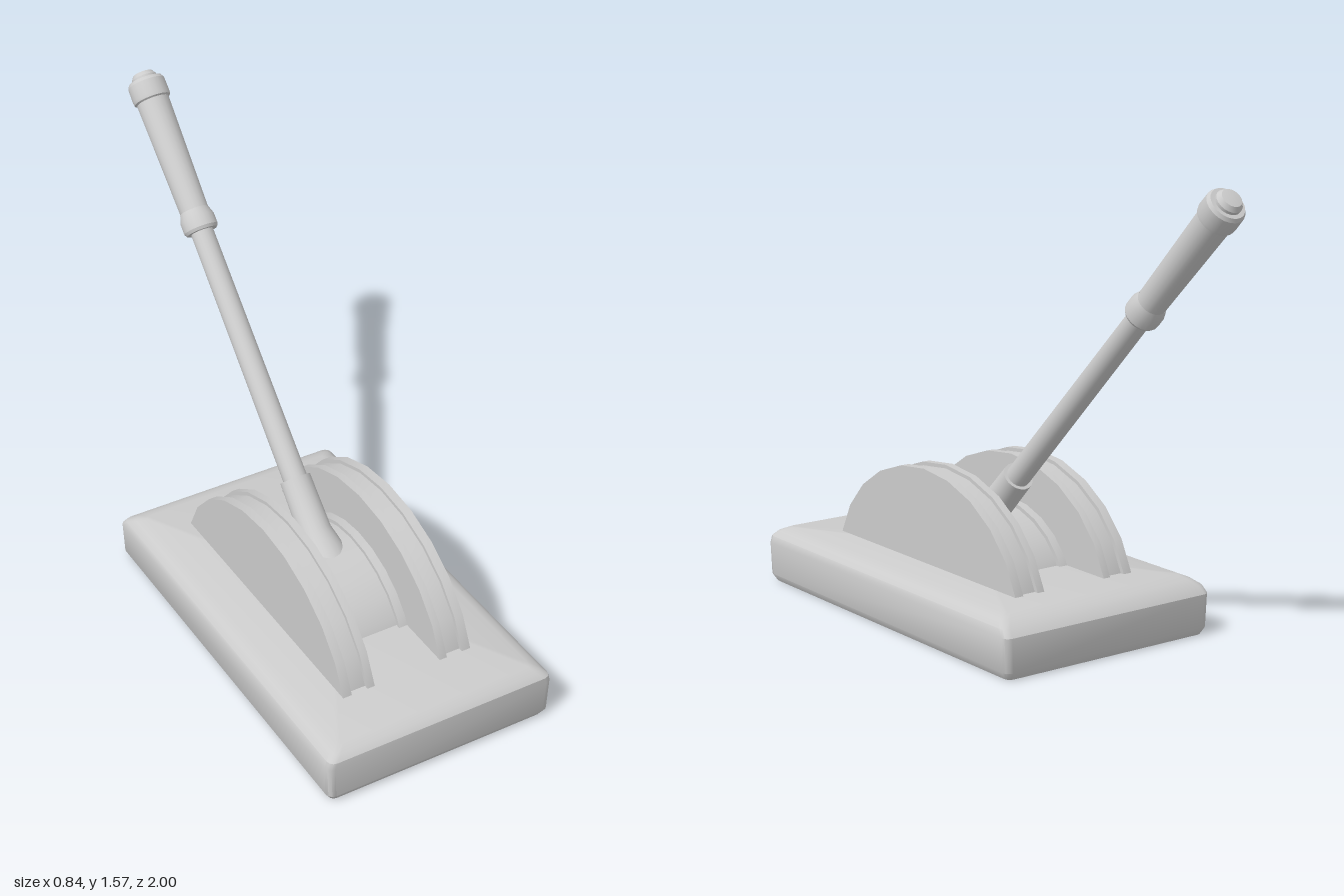
import * as THREE from 'three';
import { toCreasedNormals } from 'three/addons/utils/BufferGeometryUtils.js';

const material = new THREE.MeshStandardMaterial({ color: 0xcccccc, side: THREE.DoubleSide });

function addMesh(parent, name, geometry, crease = 0.6) {
  const mesh = new THREE.Mesh(toCreasedNormals(geometry, crease), material);
  mesh.name = name;
  parent.add(mesh);
  return mesh;
}

function lathe(profile, segments, start = 0, length = Math.PI * 2) {
  return new THREE.LatheGeometry(profile.map(([r, y]) => new THREE.Vector2(r, y)), segments, start, length);
}

// Hollow base, open underneath: rounded rectangles stacked upwards
function baseGeometry() {
  // [y, half width, back z, front z, corner radius]
  const sections = [
    [0, 0.4, -0.415, 0.985, 0.02],
    [0.025, 0.415, -0.428, 1, 0.025],
    [0.14, 0.42, -0.43, 1, 0.025],
    [0.165, 0.413, -0.41, 1, 0.025],
    [0.183, 0.392, -0.38, 0.985, 0.025],
    [0.197, 0.36, -0.345, 0.955, 0.02],
    [0.197, 0, 0.3, 0.3, 0],
  ];
  const corners = [[1, 1], [1, -1], [-1, -1], [-1, 1]];
  const steps = 3;
  const positions = [];
  const index = [];
  for (const [y, w, back, front, r] of sections) {
    corners.forEach(([sx, sz], c) => {
      for (let i = 0; i <= steps; i++) {
        const a = (c + i / steps) * Math.PI / 2;
        const z = sz > 0 ? front : back;
        positions.push(sx * (w - r) + r * Math.sin(a), y, z - sz * r + r * Math.cos(a));
      }
    });
  }
  const n = corners.length * (steps + 1);
  for (let s = 0; s < sections.length - 1; s++) {
    for (let i = 0; i < n; i++) {
      const a = s * n + i, b = s * n + (i + 1) % n;
      index.push(a, b, b + n, a, b + n, a + n);
    }
  }
  const geometry = new THREE.BufferGeometry();
  geometry.setAttribute('position', new THREE.Float32BufferAttribute(positions, 3));
  geometry.setIndex(index);
  return geometry;
}

// Half spool: two grooved discs joined by a narrower drum, slightly flattened
function spoolGeometry() {
  const half = [
    [0.33, 0.093], [0.346, 0.093], [0.346, 0.123], [0.53, 0.123], [0.53, 0.15],
    [0.515, 0.15], [0.515, 0.208], [0.53, 0.208], [0.53, 0.24], [0, 0.24],
  ];
  const mirrored = half.map(([r, x]) => [r, -x]).reverse();
  const geometry = lathe([...mirrored, ...half], 12, -Math.PI / 2, Math.PI);
  const turn = new THREE.Matrix4().makeBasis(
    new THREE.Vector3(0, 0, 1), new THREE.Vector3(1, 0, 0), new THREE.Vector3(0, 1, 0));
  return geometry.applyMatrix4(turn).scale(1, 0.83, 1).translate(0, 0.083, 0.275);
}

export function createModel() {
  const model = new THREE.Group();
  model.name = 'lever';

  addMesh(model, 'base', baseGeometry());
  addMesh(model, 'spool', spoolGeometry());

  // Lever arm, built upright and tilted back by 45 degrees
  const arm = new THREE.Group();
  arm.name = 'arm';
  arm.position.set(0, 0.32, 0.25);
  arm.rotation.x = -Math.PI / 4;
  model.add(arm);

  addMesh(arm, 'socket', lathe([
    [0.08, -0.04], [0.075, 0], [0.056, 0.07], [0.053, 0.258], [0.04, 0.258],
  ], 20), 0.5);
  addMesh(arm, 'shaft', lathe([[0.042, 0.1], [0.039, 1.16]], 20));
  addMesh(arm, 'lowerCollar', lathe([
    [0.038, 1.148], [0.054, 1.148], [0.06, 1.158], [0.06, 1.195], [0.05, 1.225],
  ], 20), 0.5);
  addMesh(arm, 'grip', lathe([[0.049, 1.2], [0.057, 1.64]], 20));
  addMesh(arm, 'upperCollar', lathe([
    [0.055, 1.625], [0.064, 1.63], [0.066, 1.64], [0.065, 1.69], [0.058, 1.702], [0.042, 1.702],
  ], 20), 0.5);
  addMesh(arm, 'endKnob', lathe([
    [0.044, 1.69], [0.044, 1.712], [0.034, 1.727], [0, 1.732],
  ], 20), 0.5);

  return model;
}
